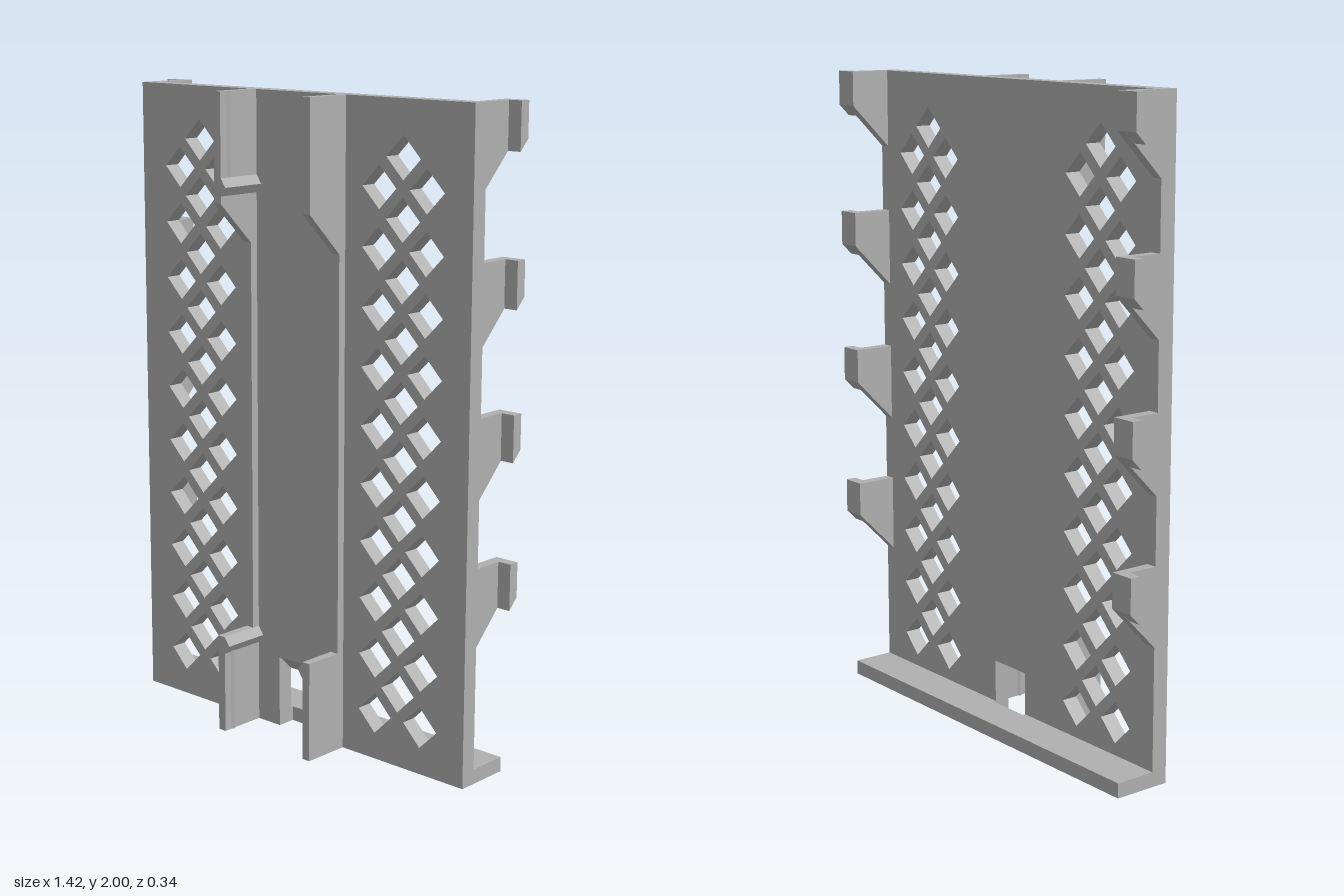
import * as THREE from 'three';

const FRONT = 0.015, BACK = -0.037, DEEP = 0.168;

export function createModel() {
  const group = new THREE.Group();
  const grey = new THREE.MeshStandardMaterial({ color: 0xb0b0b0 });
  grey.name = 'grey plastic';

  const add = (name, geometry) => {
    const mesh = new THREE.Mesh(geometry, grey);
    mesh.name = name;
    group.add(mesh);
  };
  const outline = pts => new THREE.Shape(pts.map(p => new THREE.Vector2(p[0], p[1])));
  // Outline of [x, y] points, extruded from z0 to z1
  const alongZ = (shape, z0, z1) =>
    new THREE.ExtrudeGeometry(shape, { depth: z1 - z0, bevelEnabled: false }).translate(0, 0, z0);
  // Outline of [z, y] points, extruded from x0 to x1
  const alongX = (pts, x0, x1) =>
    new THREE.ExtrudeGeometry(outline(pts.map(([z, y]) => [-z, y])), { depth: x1 - x0, bevelEnabled: false })
      .rotateY(Math.PI / 2).translate(x0, 0, 0);
  // The same, mirrored to side s
  const sideX = (pts, x0, x1, s) => (s > 0 ? alongX(pts, x0, x1) : alongX(pts, -x1, -x0));

  // Back plate with bottom notch and two diamond lattices
  const plate = outline([[-0.666, 0], [-0.075, 0], [-0.075, 0.23], [0.075, 0.23],
    [0.075, 0], [0.666, 0], [0.666, 2], [-0.666, 2]]);
  const r = 0.064;
  const cutDiamond = (x, y) => plate.holes.push(new THREE.Path(
    [[r, 0], [0, r], [-r, 0], [0, -r]].map(([a, b]) => new THREE.Vector2(x + a, y + b))));
  for (const s of [-1, 1]) {
    for (let i = 0; i < 10; i++) {
      const y = 0.147 + i * 0.1775;
      cutDiamond(s * 0.323, y);
      cutDiamond(s * 0.5, y);
      cutDiamond(s * 0.412, y + 0.089);
    }
  }
  add('plate', alongZ(plate, BACK, FRONT));

  // Sloped top of the notch
  add('notchSlope', alongX([[BACK, 0.18], [FRONT, 0.23], [BACK, 0.23]], -0.075, 0.075));

  // Bottom ledge, drawn from above, with the notch nicking its front edge
  const ledge = outline([[-0.666, -BACK], [-0.075, -BACK], [-0.075, 0.046], [0.075, 0.046],
    [0.075, -BACK], [0.666, -BACK], [0.666, DEEP], [-0.666, DEEP]]);
  add('ledge', new THREE.ExtrudeGeometry(ledge, { depth: 0.046, bevelEnabled: false }).rotateX(-Math.PI / 2));

  for (const s of [-1, 1]) {
    // Hooks along the side edges: gusset wall and outward lug
    for (let i = 0; i < 4; i++) {
      const t = 2 - i * 0.445;
      add('hookWall', sideX([[BACK, t], [-DEEP, t], [-DEEP, t - 0.107], [BACK, t - 0.24]], 0.632, 0.666, s));
      add('hookLug', sideX([[-0.134, t], [-DEEP, t], [-DEEP, t - 0.107], [-0.134, t - 0.141]], 0.666, 0.71, s));
    }

    // Guide rail: deep at both ends, shallow between
    add('rail', sideX([[FRONT, 0], [DEEP, 0], [DEEP, 0.312], [0.041, 0.312], [0.041, 1.54],
      [DEEP, 1.668], [DEEP, 2], [FRONT, 2]], 0.166, 0.194, s));

    // Detent ridges across the inner rail face
    for (const y of [0.285, 1.718]) {
      const ridge = outline([[s * 0.166, y - 0.027], [s * 0.147, y], [s * 0.166, y + 0.027]]);
      add('detent', alongZ(ridge, FRONT, DEEP));
    }

    // Slim upright ribs on the inner rail face
    for (const [y0, y1] of [[0, 0.26], [1.745, 2]]) {
      const rib = outline([[s * 0.166, -0.142], [s * 0.161, -0.132], [s * 0.166, -0.122]]);
      add('railRib', new THREE.ExtrudeGeometry(rib, { depth: y1 - y0, bevelEnabled: false })
        .rotateX(-Math.PI / 2).translate(0, y0, 0));
    }
  }
  return group;
}
